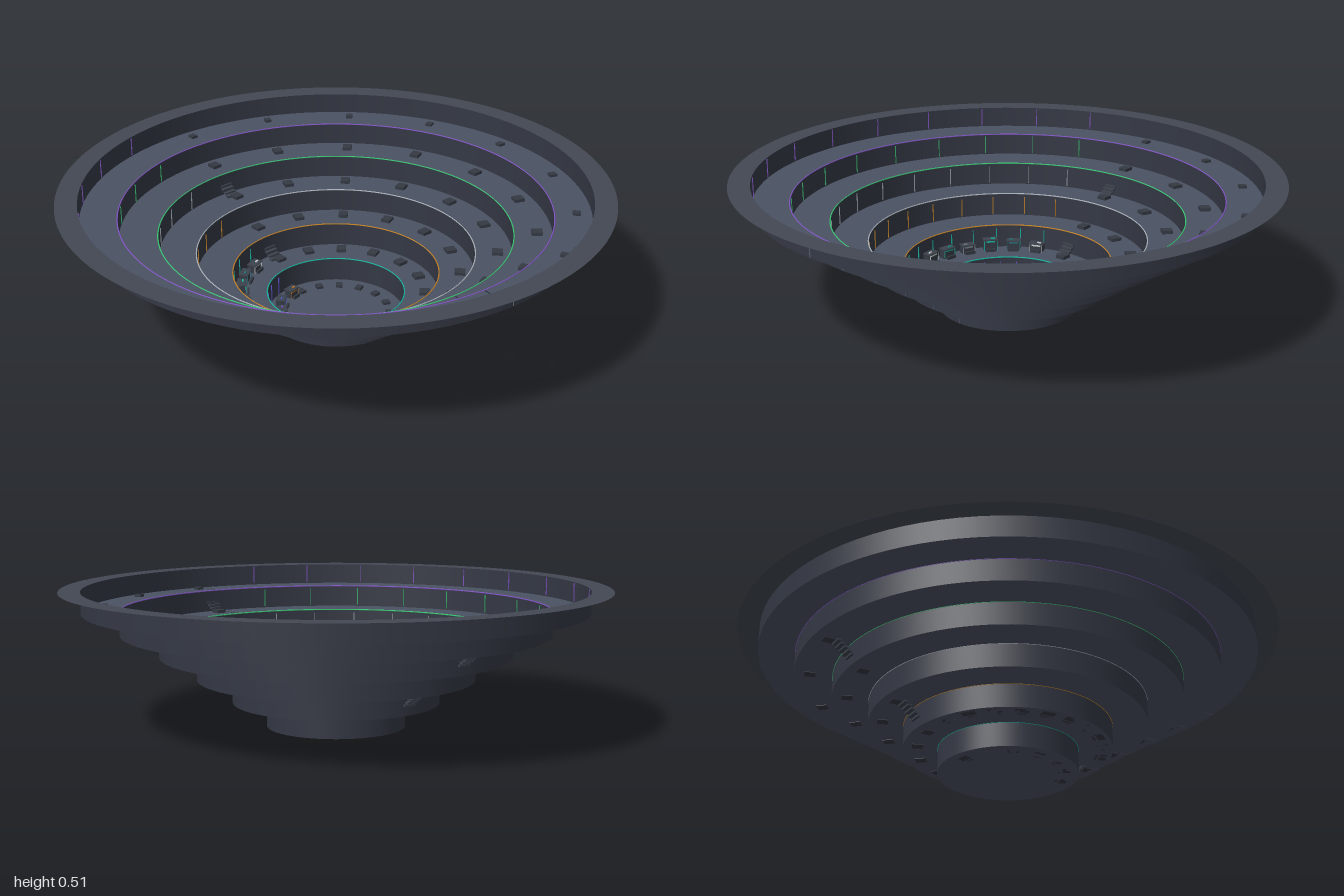
import * as THREE from 'three';

const RADII = [0.255, 0.38, 0.51, 0.645, 0.785, 0.92];
const LEVELS = [0, 0.09, 0.178, 0.265, 0.35, 0.432, 0.51];
const TRIM = [0x18c0a8, 0xd08a2a, 0xb4bcc4, 0x3fd07c, 0x8a5ad0];
const POST = [0x5a50c8, 0x18a898, 0xb07828, 0x8c949c, 0x35a868, 0x7a50b8];
const SEGMENTS = 96;
const GAP = 0.006;
const GAP_START = THREE.MathUtils.degToRad(86.5);

const mat = (color, side = THREE.FrontSide) => {
  const m = new THREE.MeshStandardMaterial({ side });
  m.color.set(color);
  return m;
};

export function createModel() {
  const root = new THREE.Group();
  const wallMat = mat(0x343844, THREE.DoubleSide);
  const floorMat = mat(0x4a5162, THREE.DoubleSide);
  const rimMat = mat(0x424854, THREE.DoubleSide);
  const darkMat = mat(0x343943);
  const stairMat = mat(0x3c424c);
  const trimMats = TRIM.map(c => mat(c));
  const postMats = POST.map(c => mat(c));

  const add = (parent, name, geometry, material, x = 0, y = 0, z = 0) => {
    const mesh = new THREE.Mesh(geometry, material);
    mesh.name = name;
    mesh.position.set(x, y, z);
    parent.add(mesh);
    return mesh;
  };
  // Sweeps a two-point profile around the bowl, leaving a hairline seam if asked
  const sweep = (name, r0, y0, r1, y1, material, seam = true) => {
    const points = [new THREE.Vector2(r0, y0), new THREE.Vector2(r1, y1)];
    const gap = seam ? GAP : 0;
    add(root, name, new THREE.LatheGeometry(points, SEGMENTS, GAP_START + gap / 2, Math.PI * 2 - gap), material);
  };
  // A group placed on a circle; angle 0 is the front, local z points outward
  const onRing = (name, radius, y, angle) => {
    const g = new THREE.Group();
    g.name = name;
    g.position.set(Math.sin(angle) * radius, y, Math.cos(angle) * radius);
    g.rotation.y = angle;
    root.add(g);
    return g;
  };

  // Stepped bowl: ring floors joined by upright walls, with a flat outer rim
  RADII.forEach((r, i) => {
    sweep(`floor${i}`, i ? RADII[i - 1] : 0.0001, LEVELS[i], r, LEVELS[i], floorMat, i > 0);
    sweep(`wall${i}`, r, LEVELS[i], r, LEVELS[i + 1], wallMat);
  });
  sweep('outerRim', 0.92, 0.51, 1, 0.51, rimMat, false);

  // Coloured light strip on the lip of each terrace
  TRIM.forEach((c, i) => {
    const ring = add(root, `edgeTrim${i}`, new THREE.TorusGeometry(RADII[i], 0.0025, 4, SEGMENTS),
      trimMats[i], 0, LEVELS[i + 1] + 0.001, 0);
    ring.rotation.x = Math.PI / 2;
  });

  // Slim posts along the front half of each wall
  const lower = new THREE.BoxGeometry(0.003, 0.07, 0.003);
  RADII.forEach((r, i) => {
    for (let k = -5; k <= 5; k++) {
      const g = onRing('wallPost', r - 0.003, LEVELS[i] + 0.04, k * 0.25);
      add(g, 'post', lower, postMats[i]);
    }
  });

  // Low blocks spread round the back half of each floor
  const block = new THREE.BoxGeometry(0.036, 0.014, 0.04);
  RADII.forEach((r, i) => {
    const mid = i === 0 ? 0.2 : (RADII[i - 1] + r) / 2 + 0.012;
    for (let k = 0; k <= 8; k++) {
      const g = onRing('floorBlock', mid, LEVELS[i] + 0.005, Math.PI / 2 + k * Math.PI / 8);
      add(g, 'block', block, darkMat).scale.setScalar(i === 0 || i === 5 ? 0.7 : 1);
    }
  });

  // Stairs link neighbouring terraces, alternating between the two sides
  const STEPS = 8;
  for (let i = 0; i < 5; i++) {
    const side = i % 2 ? -1 : 1;
    const stairs = new THREE.Group();
    stairs.name = `stairs${i}`;
    for (let k = 0; k < STEPS; k++) {
      const t = (k + 0.5) / STEPS;
      add(stairs, 'tread', new THREE.BoxGeometry(0.015, 0.007, 0.05), stairMat,
        side * (RADII[i] - 0.045 + t * 0.105), LEVELS[i] + t * (LEVELS[i + 1] - LEVELS[i]), 0.01);
    }
    root.add(stairs);
  }

  // Booths with counters and lit signs on the two lowest terraces
  const boothRow = (name, count, radius, y, spread, width, colors) => {
    for (let k = 0; k < count; k++) {
      const angle = (k / (count - 1) * 2 - 1) * spread;
      const g = onRing(name, radius, y, angle);
      const accent = mat(colors[k % colors.length]);
      const h = 0.03 + (k % 3) * 0.006;
      add(g, 'body', new THREE.BoxGeometry(width, h, 0.028), darkMat, 0, h / 2, 0.006);
      add(g, 'roof', new THREE.BoxGeometry(width + 0.006, 0.004, 0.036), stairMat, 0, h + 0.002, 0.003);
      add(g, 'sign', new THREE.BoxGeometry(width * 0.7, 0.006, 0.003), accent, 0, h - 0.005, -0.0095);
      add(g, 'counter', new THREE.BoxGeometry(width * 0.8, 0.012, 0.008), darkMat, 0, 0.006, -0.02);
      add(g, 'roofLight', new THREE.BoxGeometry(width * 0.3, 0.004, 0.006), accent, (k % 2 - 0.5) * width * 0.4, h + 0.006, 0);
      for (const s of [-1, 1]) {
        add(g, 'sidePole', new THREE.CylinderGeometry(0.0015, 0.0015, h, 6), accent, s * width / 2, h / 2, -0.012);
      }
    }
  };
  boothRow('terraceBooth', 10, 0.345, LEVELS[1], 1.2, 0.05,
    [0xc8ccd0, 0x2a6f78, 0x18b8a4, 0x7a828c, 0x209488]);
  boothRow('lowerBooth', 7, 0.205, LEVELS[0], 1.35, 0.042,
    [0xc87828, 0x4a58b8, 0x6a50b8, 0x287f90]);

  return root;
}
